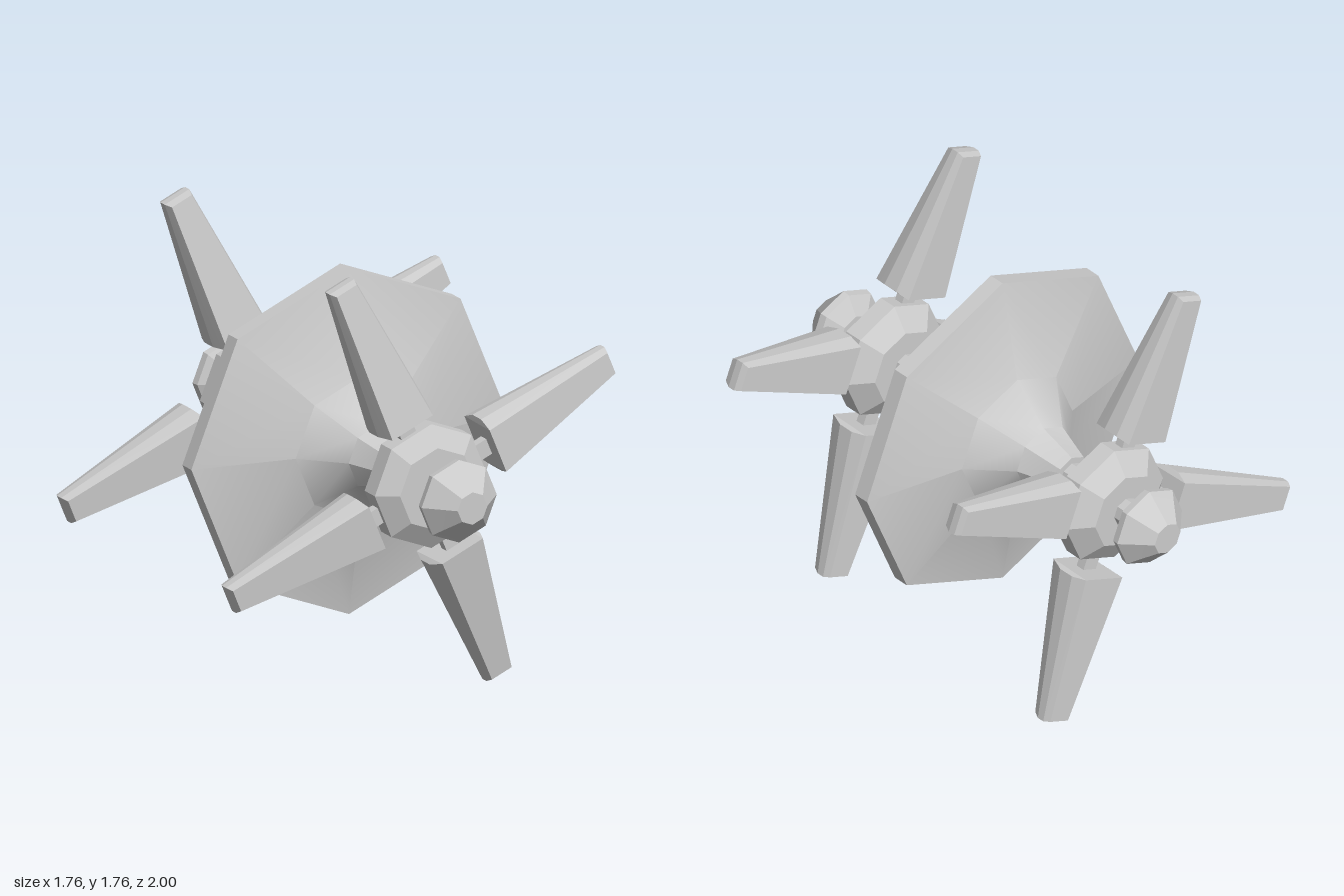
import * as THREE from 'three';
import { toCreasedNormals } from 'three/addons/utils/BufferGeometryUtils.js';
import { ConvexGeometry } from 'three/addons/geometries/ConvexGeometry.js';

const material = new THREE.MeshStandardMaterial({ color: 0xcccccc });

function part(name, geometry, parent) {
  const mesh = new THREE.Mesh(geometry, material);
  mesh.name = name;
  parent.add(mesh);
  return mesh;
}

// Eight-sided solid turned about z; profile is [z, radius] from back to front
function turned(profile, crease = 0.3) {
  const points = profile.map(([z, r]) => new THREE.Vector2(r, z));
  const geometry = new THREE.LatheGeometry(points, 8).rotateX(Math.PI / 2);
  return toCreasedNormals(geometry, crease);
}

// Six-sided blade section at distance u along the blade
function section(u, back, front, half) {
  const low = back + (front - back) * 0.3, high = back + (front - back) * 0.65;
  const points = [];
  for (const s of [-1, 1]) {
    points.push(
      new THREE.Vector3(u - 0.01, s * half * 0.84, back),
      new THREE.Vector3(u, s * half, low),
      new THREE.Vector3(u, s * half, high),
      new THREE.Vector3(u - 0.01, s * half * 0.8, front)
    );
  }
  return points;
}

// Barrel hub with four tapered blades on short pegs
function createRotor(name) {
  const rotor = new THREE.Group();
  rotor.name = name;
  part('hub', turned([[-0.1, 0], [-0.1, 0.16], [-0.035, 0.255], [0.045, 0.255], [0.095, 0.17], [0.095, 0]]), rotor);
  const bladeGeometry = toCreasedNormals(new ConvexGeometry([
    ...section(0.305, -0.1, 0.095, 0.123),
    ...section(0.925, -0.1, -0.01, 0.06)
  ]), 0.3);
  const pegGeometry = new THREE.BoxGeometry(0.16, 0.07, 0.04).translate(0.27, 0, 0.005);
  for (let i = 0; i < 4; i++) {
    const arm = new THREE.Group();
    arm.name = 'bladeArm';
    arm.rotation.z = Math.PI / 8 + i * Math.PI / 2;
    part('blade', bladeGeometry, arm);
    part('peg', pegGeometry, arm);
    rotor.add(arm);
  }
  return rotor;
}

export function createModel() {
  const model = new THREE.Group();
  model.name = 'twinRotorSpindle';
  const body = new THREE.Group();
  body.name = 'body';
  body.position.set(-0.008, 0.862, 0);
  model.add(body);

  // Central flared disc, symmetrical front to back
  const flare = [[0.035, 0.712], [0.12, 0.29], [0.275, 0.14], [0.44, 0.087], [0.44, 0]];
  const backFlare = flare.map(([z, r]) => [-z, r]).reverse();
  part('centralDisc', turned([...backFlare, ...flare], 0.65), body);

  // Shaft through everything
  part('shaft', turned([[-0.9, 0], [-0.9, 0.06], [0.9, 0.06], [0.9, 0]]), body);

  // Two rotors facing the same way
  for (const [name, z] of [['frontRotor', 0.633], ['backRotor', -0.655]]) {
    const rotor = createRotor(name);
    rotor.position.z = z;
    body.add(rotor);
  }

  // End caps
  const capGeometry = turned([[0.822, 0], [0.822, 0.085], [0.865, 0.165], [0.895, 0.17], [0.925, 0.14], [1, 0.067], [1, 0]]);
  part('frontCap', capGeometry, body);
  part('backCap', capGeometry, body).rotation.y = Math.PI;

  return model;
}
